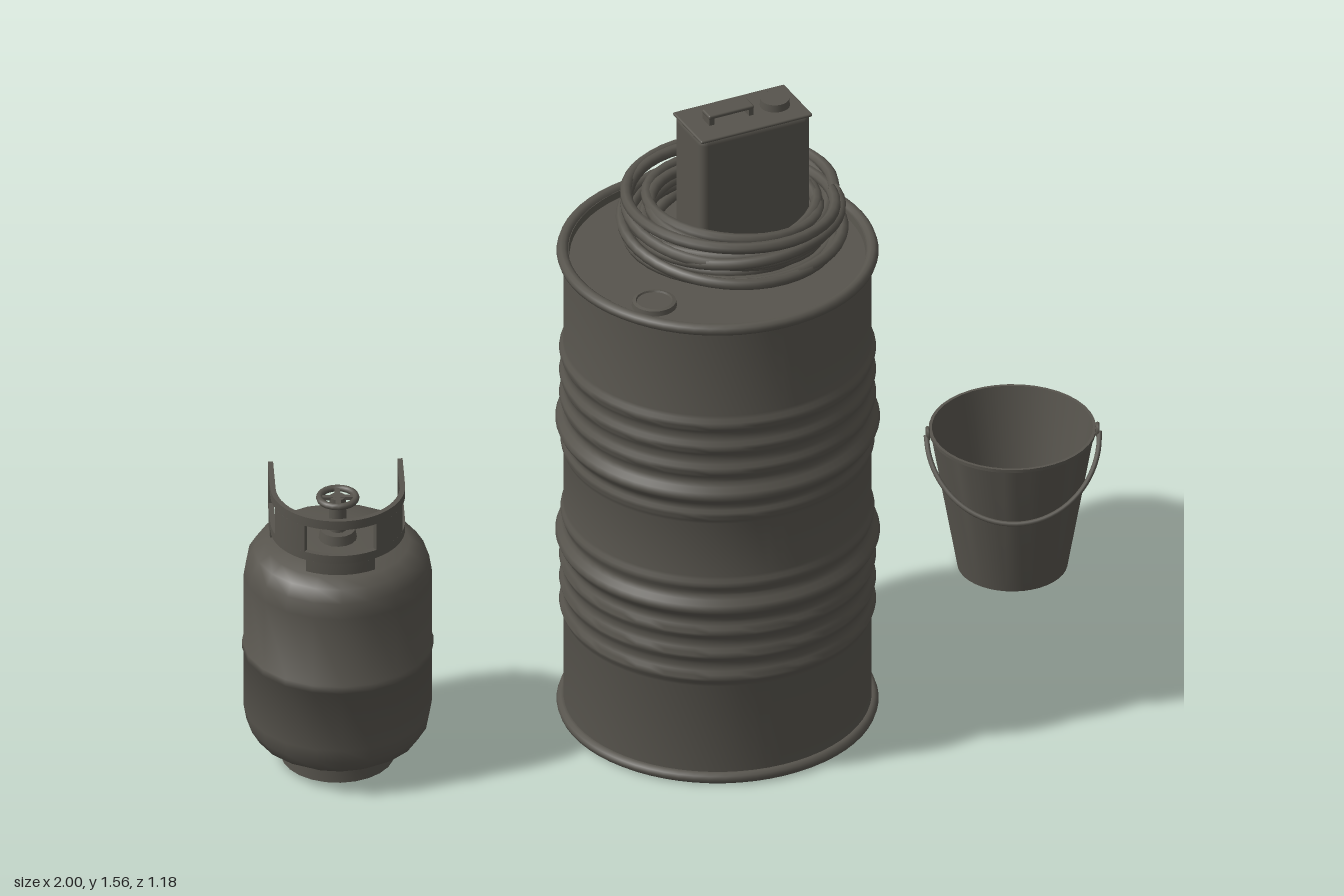
import * as THREE from 'three';
import { toCreasedNormals } from 'three/addons/utils/BufferGeometryUtils.js';
import { RoundedBoxGeometry } from 'three/addons/geometries/RoundedBoxGeometry.js';

const metal = new THREE.MeshStandardMaterial({ color: 0x57544d, side: THREE.DoubleSide });
metal.name = 'dark grey metal';

function add(parent, name, geometry, x = 0, y = 0, z = 0) {
  const mesh = new THREE.Mesh(geometry, metal);
  mesh.name = name;
  mesh.position.set(x, y, z);
  parent.add(mesh);
  return mesh;
}

function group(parent, name, x, y, z) {
  const g = new THREE.Group();
  g.name = name;
  g.position.set(x, y, z);
  parent.add(g);
  return g;
}

const lathe = (points, sides, crease = 0.7) =>
  toCreasedNormals(new THREE.LatheGeometry(points.map(([r, y]) => new THREE.Vector2(r, y)), sides), crease);

const tube = (points, radius, segments = 24) =>
  new THREE.TubeGeometry(new THREE.CatmullRomCurve3(points.map(p => new THREE.Vector3(...p))), segments, radius, 8);

function buildBarrel(root) {
  const barrel = group(root, 'barrel', 0.095, 0, 0.185);
  const R = 0.352;
  // Each rib: height, bulge, half width
  const ribs = [
    [0.28, 0.010, 0.025], [0.34, 0.010, 0.025], [0.40, 0.010, 0.025], [0.465, 0.019, 0.033], [0.525, 0.007, 0.022],
    [0.71, 0.007, 0.022], [0.765, 0.019, 0.033], [0.83, 0.010, 0.025], [0.89, 0.010, 0.025], [0.95, 0.010, 0.025],
  ];
  const profile = [[0, 0.012], [R, 0.012]];
  for (const [y, bulge, half] of ribs) {
    for (let i = -3; i <= 3; i++) {
      profile.push([R + bulge * (0.5 + 0.5 * Math.cos(i * Math.PI / 3)), y + half * i / 3]);
    }
  }
  profile.push([R, 1.21], [R - 0.012, 1.21], [R - 0.014, 1.193], [0, 1.193]);
  add(barrel, 'barrelShell', lathe(profile, 64, 0.9));
  // Rolled rims
  for (const y of [0.014, 1.206]) {
    add(barrel, 'barrelRim', new THREE.TorusGeometry(R + 0.002, 0.014, 10, 64).rotateX(Math.PI / 2), 0, y, 0);
  }
  add(barrel, 'barrelBung', lathe([[0.052, 0], [0.05, 0.012], [0.042, 0.014], [0.04, 0.01], [0, 0.01]], 24), -0.155, 1.193, 0.215);
}

function buildRope(root) {
  // One long rope laid in loose, tilted loops
  const turns = 15, perTurn = 20, points = [];
  for (let i = 0; i <= turns * perTurn; i++) {
    const a = i / perTurn * Math.PI * 2;
    const t = i / (turns * perTurn);
    const r = 0.216 + 0.036 * Math.sin(a * 0.29) + 0.008 * Math.sin(a * 1.7 + 1);
    const y = 1.222 + 0.095 * t + (0.006 + 0.014 * Math.sin(Math.PI * t)) * Math.sin(a * 1.13 + 0.6);
    points.push([
      0.01 * Math.sin(a * 0.17) + r * Math.cos(a),
      Math.max(1.21, Math.min(1.325, y)),
      0.012 * Math.cos(a * 0.23) + r * Math.sin(a),
    ]);
  }
  add(root, 'ropeCoil', tube(points, 0.0135, 600), 0.13, 0, 0.125);
}

function buildCan(root) {
  const can = group(root, 'fuelCan', 0.155, 0, 0.128);
  can.rotation.y = 0.41;
  add(can, 'canBody', new RoundedBoxGeometry(0.28, 0.34, 0.145, 3, 0.018), 0, 1.365, 0);
  add(can, 'canTopSeam', new RoundedBoxGeometry(0.284, 0.008, 0.149, 2, 0.004), 0, 1.531, 0);
  // Carrying handle: a flat bar on two feet
  add(can, 'canHandle', new RoundedBoxGeometry(0.115, 0.01, 0.038, 2, 0.004), -0.037, 1.555, 0);
  for (const s of [-1, 1]) {
    add(can, 'canHandleFoot', new THREE.BoxGeometry(0.012, 0.024, 0.036), -0.037 + s * 0.05, 1.543, 0);
  }
  add(can, 'canCap', new THREE.CylinderGeometry(0.033, 0.035, 0.02, 24), 0.082, 1.543, 0);
}

function buildTank(root) {
  const tank = group(root, 'gasTank', -0.782, 0, 0.368);
  add(tank, 'tankBody', lathe([
    [0, 0.025], [0.1, 0.03], [0.15, 0.042], [0.19, 0.068], [0.209, 0.1], [0.215, 0.135],
    [0.215, 0.285], [0.219, 0.289], [0.219, 0.307], [0.215, 0.311],
    [0.215, 0.485], [0.209, 0.522], [0.192, 0.55], [0.165, 0.566], [0.1, 0.575], [0, 0.578],
  ], 20, 0.9));
  add(tank, 'tankFoot', lathe([[0.12, 0.045], [0.12, 0], [0.13, 0], [0.13, 0.045]], 24));

  // Collar: strips bent along a U that is open at the back
  const R = 0.148, arc = R * Math.PI / 2;
  function strip(s0, s1, y0, y1) {
    const g = new THREE.BoxGeometry(s1 - s0, y1 - y0, 0.012, Math.ceil((s1 - s0) / 0.02), 1, 1);
    g.translate((s0 + s1) / 2, (y0 + y1) / 2, 0);
    const p = g.attributes.position;
    for (let i = 0; i < p.count; i++) {
      const s = p.getX(i), r = R + p.getZ(i);
      const a = Math.max(-arc, Math.min(arc, s)) / R;
      const straight = Math.max(0, Math.abs(s) - arc);
      p.setXYZ(i, r * Math.sin(a), p.getY(i), r * Math.cos(a) - straight);
    }
    return add(tank, 'tankCollar', toCreasedNormals(g, 0.6));
  }
  const end = arc + 0.12;
  strip(-end, end, 0.687, 0.71);
  strip(-end, end, 0.597, 0.618);
  strip(-0.08, 0.08, 0.565, 0.597);
  for (const s of [-1, 1]) {
    const both = (a, b, y0, y1) => strip(Math.min(s * a, s * b), Math.max(s * a, s * b), y0, y1);
    both(0.083, 0.185, 0.618, 0.687);
    both(end - 0.03, end, 0.618, 0.687);
    both(end - 0.1, end - 0.03, 0.56, 0.597);
  }

  // Valve and hand wheel
  add(tank, 'valveBase', new THREE.CylinderGeometry(0.04, 0.045, 0.03, 16), 0, 0.585, 0);
  add(tank, 'valveStem', new THREE.CylinderGeometry(0.018, 0.022, 0.1, 12), 0, 0.635, 0);
  add(tank, 'valveOutlet', new THREE.CylinderGeometry(0.017, 0.017, 0.06, 12).rotateX(Math.PI / 2), 0, 0.632, -0.03);
  add(tank, 'valveWheel', new THREE.TorusGeometry(0.042, 0.008, 8, 20).rotateX(Math.PI / 2), 0, 0.682, 0);
  for (let i = 0; i < 2; i++) {
    add(tank, 'wheelSpoke', new THREE.BoxGeometry(0.084, 0.008, 0.012), 0, 0.682, 0).rotation.y = i * Math.PI / 2;
  }
}

function buildBucket(root) {
  const bucket = group(root, 'bucket', 0.797, 0, -0.402);
  add(bucket, 'bucketShell', lathe([
    [0, 0], [0.126, 0], [0.187, 0.352], [0.191, 0.354], [0.191, 0.362], [0.184, 0.362], [0.122, 0.012], [0, 0.012],
  ], 40));
  // Wire handle hanging to the front
  const wire = [];
  for (let i = 0; i <= 16; i++) {
    const a = Math.PI * i / 16;
    wire.push([0.198 * Math.cos(a), 0.358 - 0.145 * Math.sin(a), 0.02 + 0.162 * Math.sin(a)]);
  }
  add(bucket, 'bucketHandle', tube(wire, 0.006, 40));
  for (const s of [-1, 1]) {
    add(bucket, 'handleEar', new THREE.TorusGeometry(0.013, 0.005, 6, 14).rotateY(Math.PI / 2), s * 0.194, 0.358, 0.012);
  }
}

export function createModel() {
  const root = new THREE.Group();
  root.name = 'barrelAndGear';
  buildBarrel(root);
  buildRope(root);
  buildCan(root);
  buildTank(root);
  buildBucket(root);
  return root;
}
